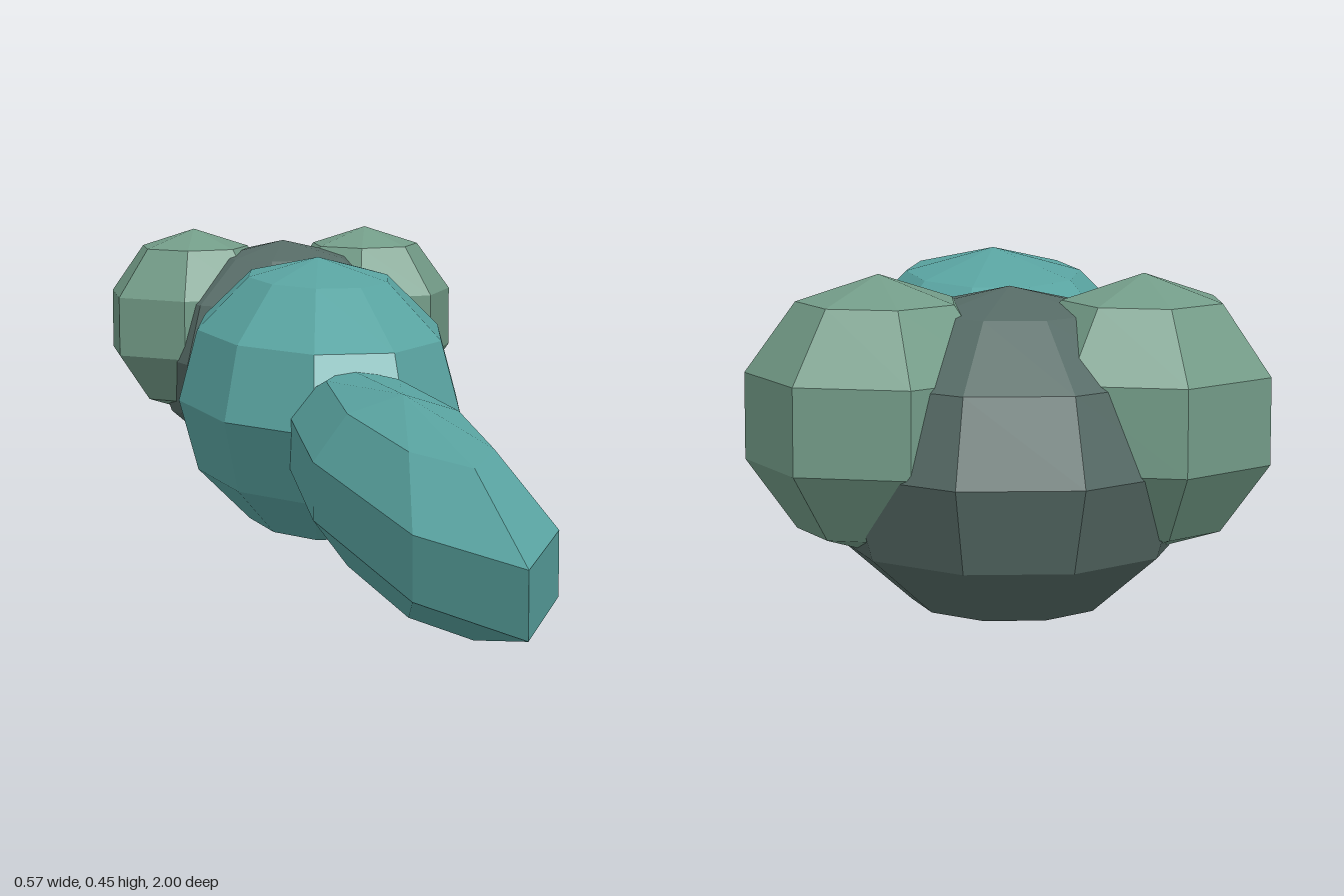
import * as THREE from 'three';

// Every part is a faceted ellipsoid with its poles up and down.
function ellipsoid(name, material, sides, rings, radii, position) {
  const geometry = new THREE.SphereGeometry(1, sides, rings);
  geometry.rotateY(Math.PI); // a corner points toward +x
  geometry.scale(...radii);
  const mesh = new THREE.Mesh(geometry, material);
  mesh.name = name;
  mesh.position.set(...position);
  return mesh;
}

function paint(name, color) {
  const material = new THREE.MeshStandardMaterial({ color, flatShading: true });
  material.name = name;
  return material;
}

export function createModel() {
  const model = new THREE.Group();
  model.name = 'insect';
  const teal = paint('teal body', 0x5aa5a2);
  const slate = paint('dark slate green head', 0x566b66);
  const sage = paint('sage green eyes', 0x739c88);
  const midX = -0.008; // offset that centres the odd-sided eyes

  // Long tapering abdomen, rounded thorax and head
  model.add(
    ellipsoid('abdomen', teal, 8, 5, [0.125, 0.124, 0.736], [midX, 0.198, 0.3]),
    ellipsoid('thorax', teal, 10, 6, [0.218, 0.218, 0.4], [midX, 0.218, -0.4]),
    ellipsoid('head', slate, 10, 6, [0.22, 0.19, 0.234], [midX, 0.24, -0.777])
  );

  // Pair of bulging eyes
  for (const [name, side] of [['leftEye', 1], ['rightEye', -1]]) {
    model.add(ellipsoid(name, sage, 7, 5, [0.155, 0.156, 0.157],
      [midX + side * 0.146, 0.292, -0.815]));
  }
  return model;
}
